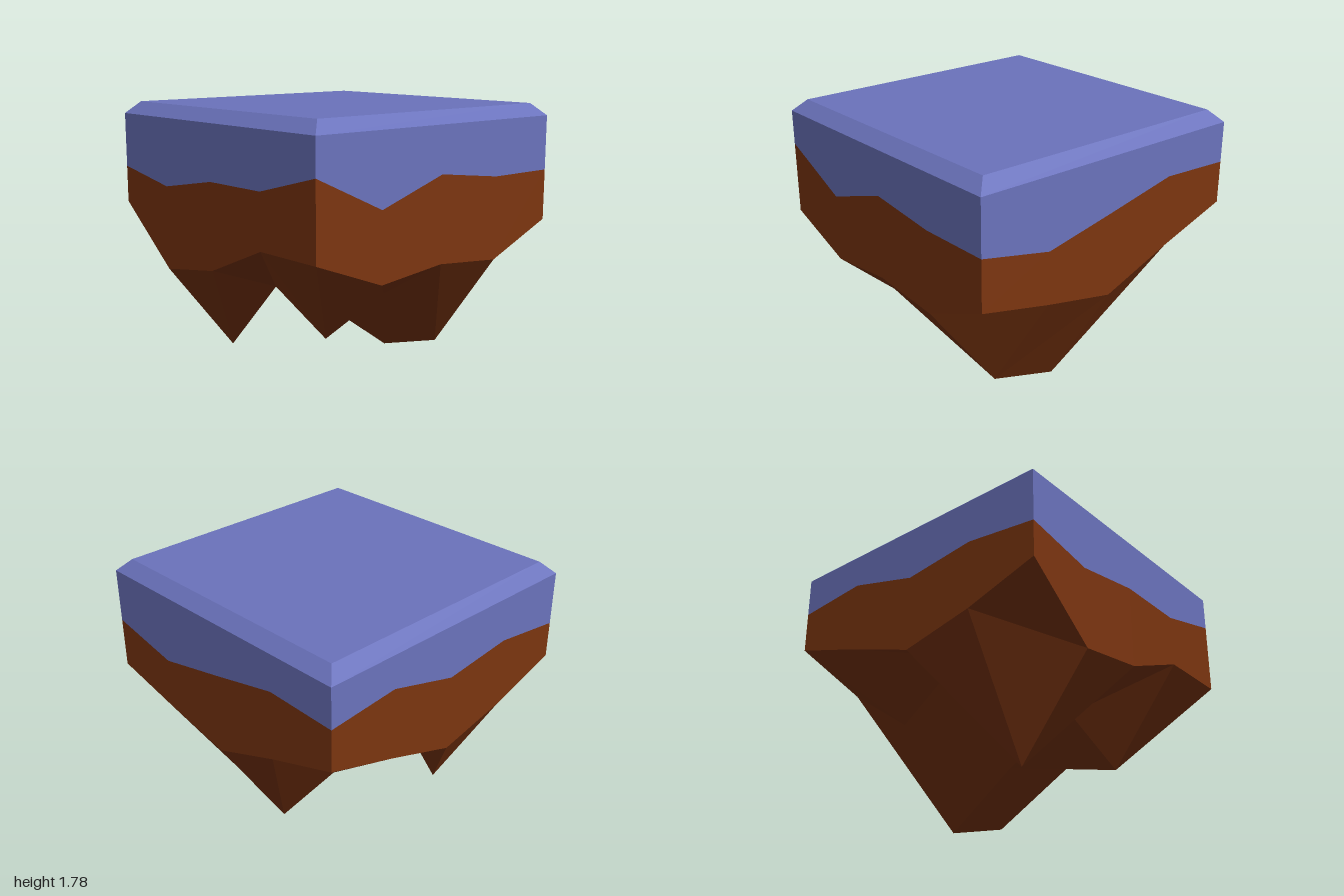
import * as THREE from 'three';

const STEP = 0.5, N = 4;
const WALL_TOP = 1.705, TOP = 1.785, INSET = 0.92;

// Underside heights: rows run from back (z = -1) to front, columns from x = -1 to 1
const UNDERSIDE = [
  [1.155, 0.985, 0.795, 0.895, 1.01],
  [1.0, 0.63, 0, 0.145, 0.805],
  [0.83, 0.98, 0.35, 0.565, 0.85],
  [0.94, 0.09, 0.6, 0.36, 0.8],
  [1.1, 0.71, 0.785, 0.99, 0.99],
];

// Height of the turf's lower edge around the rim: front, right, back, left
const TURF_EDGE = [
  1.345, 1.26, 1.345, 1.345,
  1.475, 1.245, 1.405, 1.345,
  1.345, 1.24, 1.345, 1.455,
  1.435, 1.48, 1.345, 1.405,
];

// Grid cells around the rim, anticlockwise seen from above
const RIM = [];
for (let i = 0; i < N; i++) RIM.push([i, N]);
for (let i = 0; i < N; i++) RIM.push([N, N - i]);
for (let i = 0; i < N; i++) RIM.push([N - i, 0]);
for (let i = 0; i < N; i++) RIM.push([0, i]);

const point = (i, j, y) => [i * STEP - 1, y, j * STEP - 1];
const ground = (i, j) => point(i, j, UNDERSIDE[j][i]);
const quad = (out, a, b, c, d) => out.push(a, b, c, a, c, d);

function makeMesh(name, corners, color) {
  const geometry = new THREE.BufferGeometry();
  geometry.setAttribute('position', new THREE.Float32BufferAttribute(corners.flat(), 3));
  geometry.computeVertexNormals();
  const mesh = new THREE.Mesh(geometry, new THREE.MeshStandardMaterial({ color, flatShading: true }));
  mesh.name = name;
  return mesh;
}

export function createModel() {
  const turf = [], earth = [];

  // Side walls, split into turf above and earth below
  RIM.forEach(([i, j], k) => {
    const n = (k + 1) % RIM.length;
    const [i2, j2] = RIM[n];
    const edgeA = point(i, j, TURF_EDGE[k]);
    const edgeB = point(i2, j2, TURF_EDGE[n]);
    quad(turf, edgeA, edgeB, point(i2, j2, WALL_TOP), point(i, j, WALL_TOP));
    quad(earth, ground(i, j), ground(i2, j2), edgeB, edgeA);
  });

  // Bevelled top
  const square = (r, y) => [[-r, y, r], [r, y, r], [r, y, -r], [-r, y, -r]];
  const outer = square(1, WALL_TOP), inner = square(INSET, TOP);
  for (let k = 0; k < 4; k++) {
    const n = (k + 1) % 4;
    quad(turf, outer[k], outer[n], inner[n], inner[k]);
  }
  quad(turf, ...inner);

  // Jagged underside
  for (let j = 0; j < N; j++) {
    for (let i = 0; i < N; i++) {
      quad(earth, ground(i, j), ground(i + 1, j), ground(i + 1, j + 1), ground(i, j + 1));
    }
  }

  const group = new THREE.Group();
  group.name = 'floatingGroundBlock';
  group.add(makeMesh('turf', turf, 0x6b73bd), makeMesh('earth', earth, 0x7c3510));
  return group;
}
